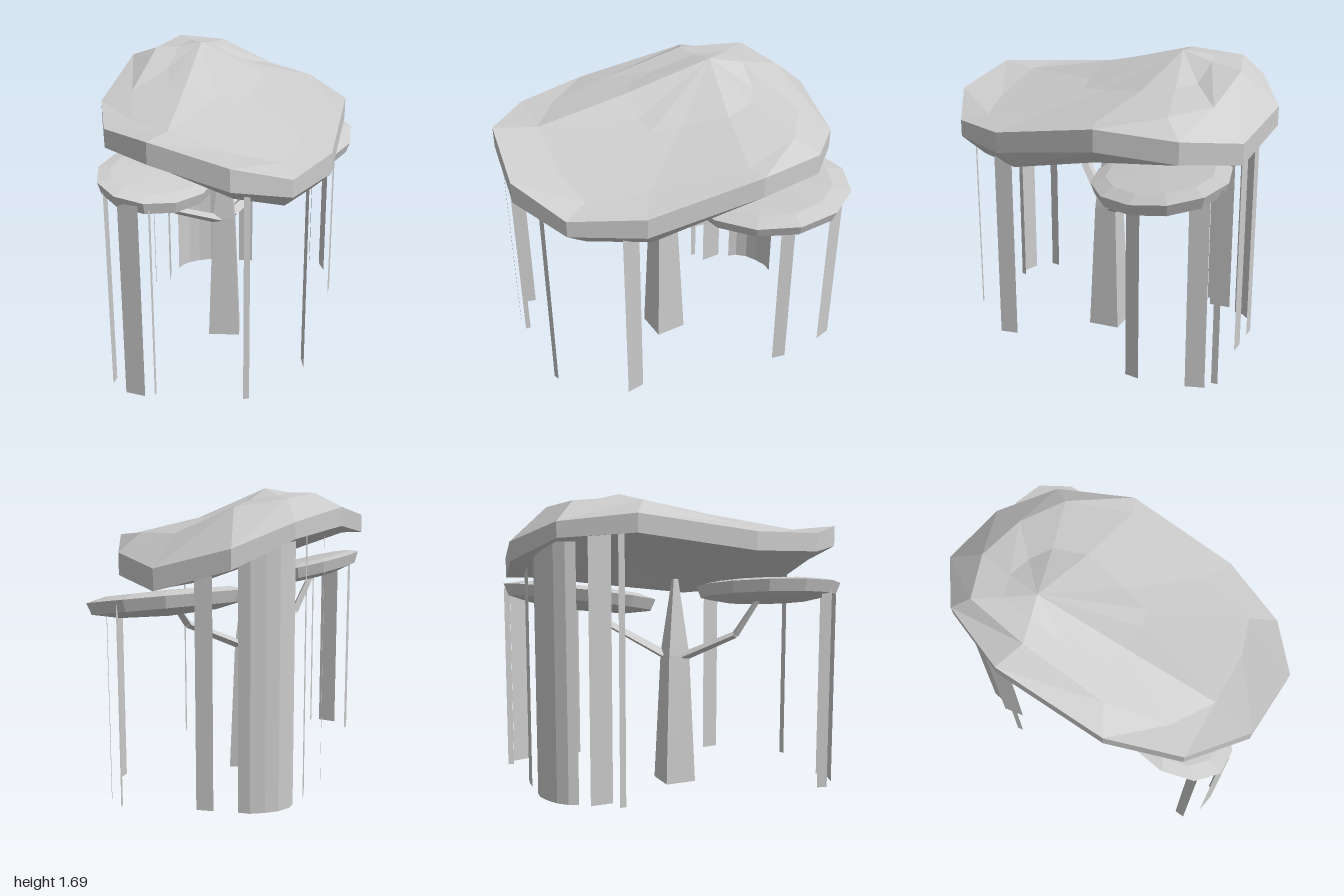
import * as THREE from 'three';

const grey = new THREE.MeshStandardMaterial({ color: 0xcccccc, flatShading: true });
const greyThin = new THREE.MeshStandardMaterial({ color: 0xcccccc, flatShading: true, side: THREE.DoubleSide });

function addMesh(group, name, geometry, material = grey) {
  const mesh = new THREE.Mesh(geometry, material);
  mesh.name = name;
  group.add(mesh);
  return mesh;
}

function fromTriangles(pos) {
  const g = new THREE.BufferGeometry();
  g.setAttribute('position', new THREE.Float32BufferAttribute(pos, 3));
  g.computeVertexNormals();
  return g;
}

// Closed faceted shell: rings run bottom to top, capped by a fan at each end
function shell(rings, bottom, top) {
  const pos = [];
  const tri = (...pts) => pts.forEach((p) => pos.push(...p));
  const n = rings[0].length;
  const last = rings[rings.length - 1];
  for (let i = 0; i < n; i++) {
    const j = (i + 1) % n;
    tri(bottom, rings[0][j], rings[0][i]);
    tri(top, last[i], last[j]);
    for (let k = 0; k < rings.length - 1; k++) {
      const [lo, up] = [rings[k], rings[k + 1]];
      tri(lo[i], lo[j], up[j]);
      tri(lo[i], up[j], up[i]);
    }
  }
  return fromTriangles(pos);
}

// Main canopy: irregular 12-sided rim, tilted up towards the back
function canopyGeometry() {
  const rim = [ // x, z, upper y, lower y
    [-0.92, 0.36, 1.505, 1.39], [-0.69, 0.70, 1.40, 1.28], [-0.36, 0.805, 1.285, 1.19],
    [0.04, 0.71, 1.30, 1.185], [0.57, 0.35, 1.41, 1.29], [0.81, -0.02, 1.365, 1.245],
    [0.83, -0.38, 1.325, 1.21], [0.60, -0.72, 1.44, 1.335], [0.27, -0.81, 1.555, 1.47],
    [-0.14, -0.71, 1.60, 1.50], [-0.66, -0.34, 1.50, 1.40], [-0.90, 0, 1.48, 1.38],
  ];
  const crown = [ // x, y, z
    [-0.70, 1.485, 0.26], [-0.49, 1.38, 0.52], [-0.30, 1.32, 0.66], [0, 1.345, 0.52],
    [0.48, 1.42, 0.30], [0.67, 1.46, -0.02], [0.64, 1.48, -0.30], [0.46, 1.62, -0.56],
    [0.23, 1.66, -0.70], [-0.10, 1.665, -0.54], [-0.50, 1.54, -0.27], [-0.72, 1.485, 0],
  ];
  const peak = [0.11, 1.69, -0.38];
  const lower = rim.map(([x, z, , y]) => [x, y, z]);
  const upper = rim.map(([x, z, y]) => [x, y, z]);
  // The top dishes gently on its front and left slopes
  const dish = crown.map(([x, y, z], i) => [
    (x + peak[0]) / 2, (y + peak[1]) / 2 - (i > 0 && i < 7 ? 0.035 : 0.01), (z + peak[2]) / 2,
  ]);
  // The underside bulges down at the front and stays level with the rim at the back
  const under = rim.map(([x, z, , y]) =>
    [x * 0.83, y - THREE.MathUtils.clamp(0.04 + 0.13 * z, 0, 0.095), z * 0.86]);
  return shell([under, lower, upper, crown, dish], [0, 1.085, 0.33], peak);
}

// Side canopies: turned, tilted lens with a narrow rim
function padGeometry([cx, cy, cz], rx, rz, turn, slopeX, slopeZ, under, over) {
  const n = 12;
  const [c, s] = [Math.cos(turn), Math.sin(turn)];
  const ring = (scale, h) => Array.from({ length: n }, (_, i) => {
    const a = -i / n * Math.PI * 2;
    const u = Math.cos(a) * rx * scale;
    const v = Math.sin(a) * rz * scale;
    const [x, z] = [u * c - v * s, u * s + v * c];
    return [cx + x, cy + slopeX * x + slopeZ * z + h, cz + z];
  });
  return shell(
    [ring(0.6, -under * 0.85), ring(0.94, -0.04), ring(1, 0.025), ring(0.78, over * 0.85)],
    [cx, cy - under, cz], [cx, cy + over, cz],
  );
}

// Tapered four-sided branch through a few points, broader in depth than in height
function addBranch(group, name, points, radii) {
  const branch = new THREE.Group();
  branch.name = name;
  const up = new THREE.Vector3(0, 1, 0);
  for (let i = 0; i < points.length - 1; i++) {
    const a = new THREE.Vector3(...points[i], 0);
    const b = new THREE.Vector3(...points[i + 1], 0);
    const d = b.clone().sub(a);
    const seg = addMesh(branch, 'branchSegment',
      new THREE.CylinderGeometry(radii[i + 1], radii[i], d.length(), 4));
    seg.scale.z = 1.7;
    seg.position.copy(a).add(b).multiplyScalar(0.5);
    seg.quaternion.setFromUnitVectors(up, d.normalize());
  }
  group.add(branch);
}

// Hanging sheet following a floor path of [x, z] points
function sheetGeometry(path, top) {
  const pos = [];
  for (let i = 0; i < path.length - 1; i++) {
    const [[ax, az], [bx, bz]] = [path[i], path[i + 1]];
    pos.push(ax, 0.035, az, bx, 0.035, bz, bx, top, bz);
    pos.push(ax, 0.035, az, bx, top, bz, ax, top, az);
  }
  return fromTriangles(pos);
}

export function createModel() {
  const model = new THREE.Group();
  model.name = 'hangingTree';

  addMesh(model, 'mainCanopy', canopyGeometry());
  addMesh(model, 'leftCanopy',
    padGeometry([0.52, 1.08, -0.055], 0.48, 0.35, -0.04, 0.04, -0.2, 0.085, 0.06));
  addMesh(model, 'rightCanopy',
    padGeometry([-0.61, 1.155, 0.065], 0.405, 0.275, -0.3, -0.1, -0.2, 0.08, 0.05));

  // Trunk: two tapering four-sided sections
  const trunk = new THREE.Group();
  trunk.name = 'trunk';
  for (const [y0, y1, r0, r1] of [[0, 0.76, 0.13, 0.09], [0.76, 1.2, 0.09, 0.02]]) {
    const part = addMesh(trunk, 'trunkSection', new THREE.CylinderGeometry(r1, r0, y1 - y0, 4));
    part.position.set(-0.07, (y0 + y1) / 2, 0);
  }
  model.add(trunk);

  addBranch(model, 'rightBranch', [[-0.13, 0.75], [-0.44, 0.895], [-0.57, 1.1]], [0.026, 0.02, 0.015]);
  addBranch(model, 'leftBranch', [[-0.01, 0.75], [0.36, 0.92], [0.45, 1.05]], [0.026, 0.022, 0.02]);

  // Hanging ribbons: x, z, x width, z run along that width, top
  const ribbons = [
    [-0.07, 0.645, 0.065, -0.08, 1.14], [-0.55, 0.675, 0.03, 0.015, 1.24],
    [-0.95, 0.05, 0.05, -0.03, 1.2], [-0.95, 0.23, 0.05, 0.1, 1.15],
    [-0.872, 0.305, 0.025, -0.015, 1.12], [0.695, 0.18, 0.07, -0.045, 1.03],
    [0.928, -0.085, 0.055, -0.09, 1.1], [0.935, -0.2, 0.025, -0.025, 1.13],
    [0.62, -0.515, 0.06, 0.07, 1.36], [0.085, -0.69, 0.09, -0.09, 1.52],
    [-0.04, -0.69, 0.025, -0.025, 1.52],
  ];
  for (const [x, z, w, d, top] of ribbons) {
    addMesh(model, 'hangingRibbon',
      sheetGeometry([[x - w / 2, z - d / 2], [x + w / 2, z + d / 2]], top), greyThin);
  }

  // Broad curved curtain at the back
  const curve = [[0.2, -0.735], [0.25, -0.76], [0.32, -0.76], [0.39, -0.735], [0.46, -0.695], [0.5, -0.645]];
  addMesh(model, 'curvedCurtain', sheetGeometry(curve, 1.45), greyThin);

  return model;
}
